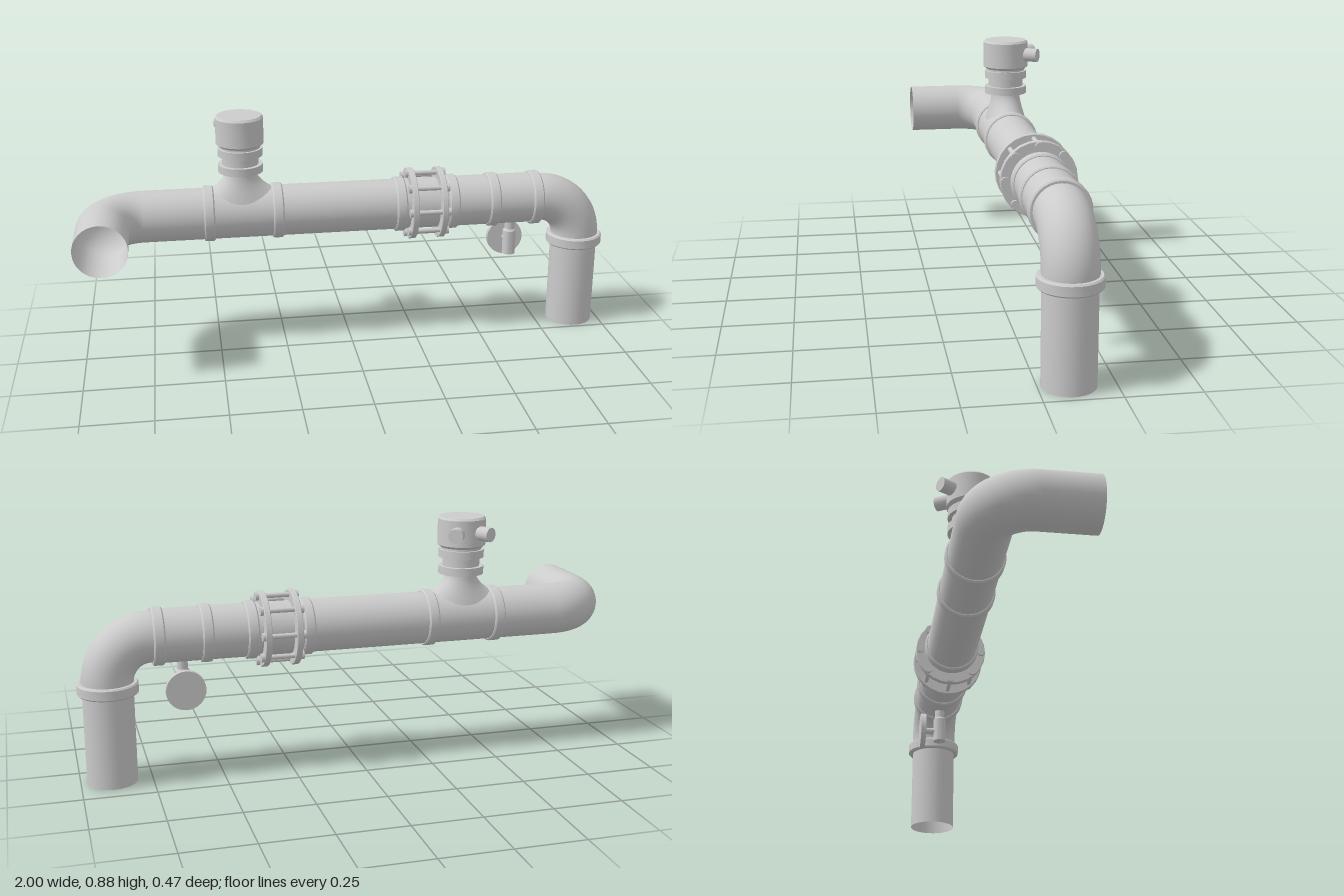
import * as THREE from 'three';
import { toCreasedNormals } from 'three/addons/utils/BufferGeometryUtils.js';
import { ParametricGeometry } from 'three/addons/geometries/ParametricGeometry.js';

const AXIS_Y = 0.515, AXIS_Z = -0.1, R = 0.095, R_DROP = 0.0885;
const VALVE_X = -0.4, FLANGE_X = 0.29, TAP_X = 0.63, DROP_X = 0.89;

export function createModel() {
  const root = new THREE.Group();
  root.name = 'pipeline';
  const solid = new THREE.MeshStandardMaterial({ color: 0xcccccc });
  const open = new THREE.MeshStandardMaterial({ color: 0xcccccc, side: THREE.DoubleSide });
  const V = (x, y, z) => new THREE.Vector3(x, y, z);

  const add = (name, geo, mat = solid, parent = root) => {
    const mesh = new THREE.Mesh(geo, mat);
    mesh.name = name;
    parent.add(mesh);
    return mesh;
  };
  // cylinder between two points
  const rod = (name, a, b, r, { sides = 32, hollow = false, parent = root } = {}) => {
    const d = b.clone().sub(a);
    const geo = new THREE.CylinderGeometry(r, r, d.length(), sides, 1, hollow);
    const m = add(name, geo, hollow ? open : solid, parent);
    m.position.copy(a).add(b).multiplyScalar(0.5);
    m.quaternion.setFromUnitVectors(V(0, 1, 0), d.normalize());
    return m;
  };
  // revolved profile given as [radius, height] from bottom to top
  const turned = (name, profile, parent = root, sides = 32) => {
    const pts = profile.map(([r, y]) => new THREE.Vector2(r, y));
    return add(name, toCreasedNormals(new THREE.LatheGeometry(pts, sides), 0.5), solid, parent);
  };
  const ring = (r, h, inner, c = 0.005) => [
    [inner, -h / 2], [r - c, -h / 2], [r, -h / 2 + c], [r, h / 2 - c], [r - c, h / 2], [inner, h / 2],
  ];
  const onAxis = (mesh, x) => {
    mesh.rotation.z = -Math.PI / 2;
    mesh.position.set(x, AXIS_Y, AXIS_Z);
  };
  // quarter-circle elbow: centre c, start and end directions from the centre
  const elbow = (name, c, from, to, bend, r) => {
    const path = new THREE.Curve();
    path.getPoint = (t, out = V(0, 0, 0)) => out.copy(c)
      .addScaledVector(from, bend * Math.cos(t * Math.PI / 2))
      .addScaledVector(to, bend * Math.sin(t * Math.PI / 2));
    add(name, new THREE.TubeGeometry(path, 14, r, 32), open);
  };

  // Main run with the forward elbow on one end and the drop on the other
  rod('mainPipe', V(-0.76, AXIS_Y, AXIS_Z), V(0.72, AXIS_Y, AXIS_Z), R, { hollow: true });
  elbow('forwardElbow', V(-0.76, AXIS_Y, 0.045), V(0, 0, -1), V(-1, 0, 0), 0.145, R);
  rod('forwardPipe', V(-0.905, AXIS_Y, 0.045), V(-0.905, AXIS_Y, 0.237), R, { hollow: true });
  rod('dropLeadIn', V(0.72, AXIS_Y, AXIS_Z), V(0.74, AXIS_Y, AXIS_Z), 0.0905, { hollow: true });
  elbow('dropElbow', V(0.74, 0.365, AXIS_Z), V(0, 1, 0), V(1, 0, 0), 0.15, 0.0905);
  rod('dropPipe', V(DROP_X, 0, AXIS_Z), V(DROP_X, 0.36, AXIS_Z), R_DROP, { hollow: true });
  turned('dropCollar', ring(0.106, 0.042, 0.085)).position.set(DROP_X, 0.344, AXIS_Z);

  // Socket collars along the run
  for (const x of [-0.523, -0.27, 0.19, 0.39, 0.548, 0.715]) {
    onAxis(turned('collar', ring(0.103, 0.04, 0.088)), x);
  }

  // Bolted flange joint
  const joint = new THREE.Group();
  joint.name = 'flangeJoint';
  onAxis(joint, FLANGE_X);
  root.add(joint);
  for (const s of [-1, 1]) {
    turned('flange', ring(0.135, 0.022, 0.09, 0.002), joint, 24).position.y = s * 0.055;
  }
  for (let i = 0; i < 8; i++) {
    const a = i * Math.PI / 4, x = 0.118 * Math.cos(a), z = 0.118 * Math.sin(a);
    rod('bolt', V(x, -0.066, z), V(x, 0.066, z), 0.009, { sides: 12, parent: joint });
    for (const s of [-1, 1]) {
      rod('boltHead', V(x, s * 0.062, z), V(x, s * 0.077, z), 0.0155, { sides: 12, parent: joint });
    }
  }

  // Flared saddle joining the valve to the run
  const saddle = new ParametricGeometry((u, v, p) => {
    const a = u * Math.PI * 2, f = v * v;
    const x = (0.055 + 0.06 * f) * Math.cos(a), z = (0.055 + 0.025 * f) * Math.sin(a);
    const base = AXIS_Y + Math.sqrt(R * R - z * z) - 0.003;
    p.set(VALVE_X + x, THREE.MathUtils.lerp(0.68, base, v), AXIS_Z + z);
  }, 32, 10);
  add('valveSaddle', saddle);

  // Valve body: two rings, necks and a chamfered cap
  const valve = new THREE.Group();
  valve.name = 'valve';
  valve.position.set(VALVE_X, 0, AXIS_Z);
  root.add(valve);
  turned('valveBody', [
    [0, 0.675], [0.082, 0.675], [0.082, 0.704], [0.067, 0.704], [0.067, 0.736],
    [0.082, 0.736], [0.082, 0.765], [0.073, 0.765], [0.073, 0.775],
  ], valve);
  turned('valveCap', [
    [0, 0.773], [0.076, 0.773], [0.087, 0.782], [0.087, 0.877], [0.08, 0.885], [0, 0.885],
  ], valve);
  for (const s of [-1, 1]) {
    rod('valveSpout', V(0, 0.83, 0), V(s * 0.067, 0.83, -0.116), 0.026, { sides: 20, parent: valve });
  }

  // Drain tap with a round handwheel behind it
  const tap = new THREE.Group();
  tap.name = 'drainTap';
  tap.position.set(TAP_X, 0, AXIS_Z);
  root.add(tap);
  rod('tapStem', V(0, 0.37, 0), V(0, 0.43, 0), 0.019, { sides: 20, parent: tap });
  turned('tapBody', [
    [0, 0.29], [0.025, 0.29], [0.025, 0.384], [0.019, 0.392], [0, 0.392],
  ], tap, 20);
  rod('tapSpindle', V(0, 0.333, 0), V(0, 0.333, -0.065), 0.013, { sides: 16, parent: tap });
  rod('tapHandwheel', V(0, 0.333, -0.06), V(0, 0.333, -0.08), 0.07, { parent: tap });

  return root;
}
